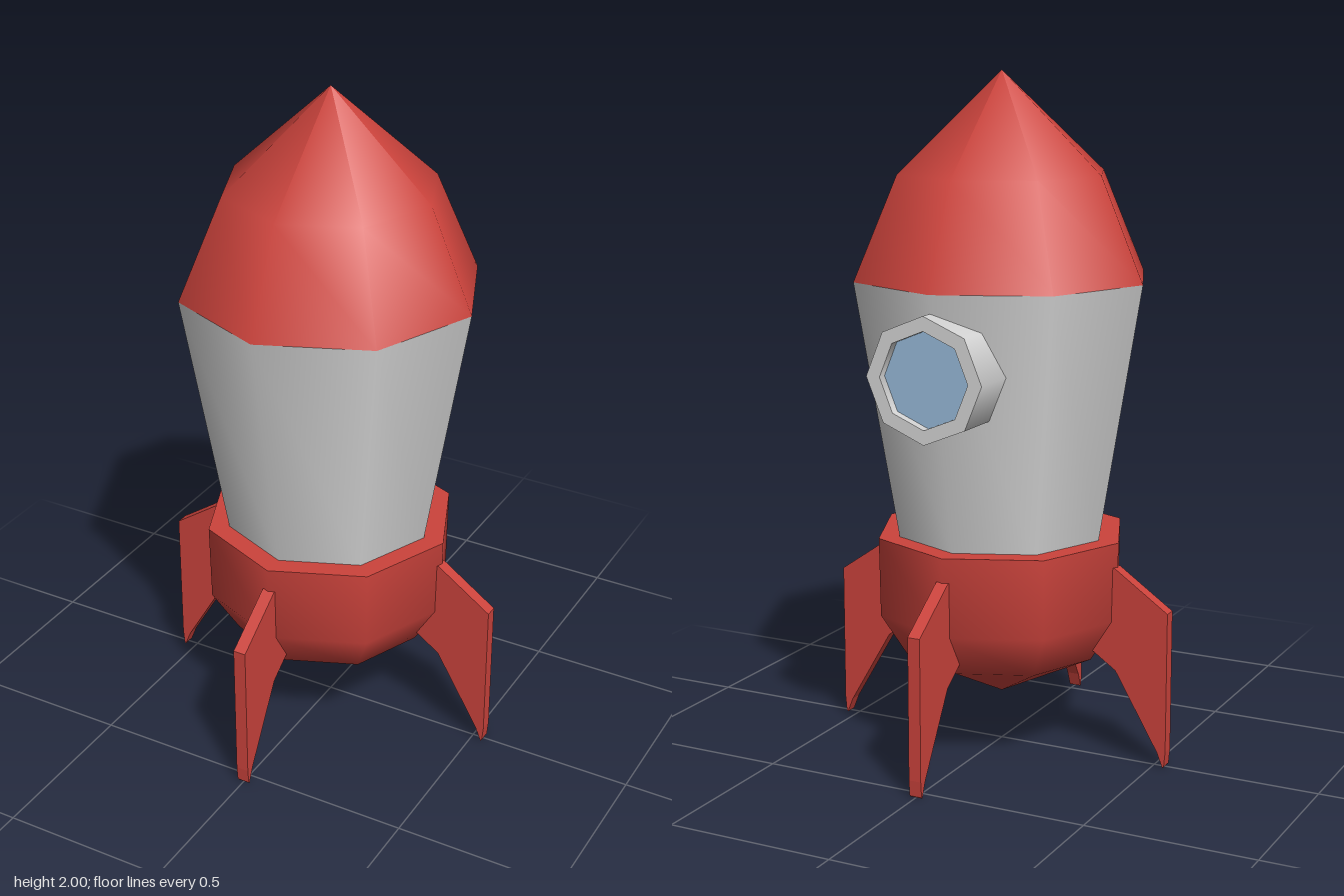
import * as THREE from 'three';
import { mergeGeometries } from 'three/addons/utils/BufferGeometryUtils.js';

const SIDES = 8;

// Each profile runs [radius, y]; separate profiles keep a sharp edge between them.
function turned(...profiles) {
  return mergeGeometries(profiles.map((profile) =>
    new THREE.LatheGeometry(profile.map(([r, y]) => new THREE.Vector2(r, y)), SIDES)));
}

function paint(name, color) {
  const material = new THREE.MeshStandardMaterial({ color });
  material.name = name;
  return material;
}

export function createModel() {
  const model = new THREE.Group();
  model.name = 'rocket';
  const red = paint('red', 0xcc433c);
  const grey = paint('lightGrey', 0xd6d6d6);
  const blue = paint('glassBlue', 0x98bbda);

  function add(name, geometry, material, parent = model) {
    const mesh = new THREE.Mesh(geometry, material);
    mesh.name = name;
    parent.add(mesh);
    return mesh;
  }

  // Hull: engine cup with a flat rim, tapering body and pointed nose
  add('engineCup', turned(
    [[0, 0.15], [0.293, 0.29], [0.374, 0.42], [0.378, 0.655]],
    [[0.378, 0.655], [0.31, 0.655]],
  ), red);
  add('body', turned([[0.313, 0.645], [0.443, 1.41]]), grey);
  add('noseCone', turned([[0.443, 1.41], [0.313, 1.71], [0, 2]]), red);

  // Four swept fins, rooted inside the engine cup
  const outline = [
    [0.29, 0.34], [0.307, 0.325], [0.38, 0.275], [0.515, 0.045],
    [0.533, 0], [0.537, 0.005], [0.541, 0.05], [0.541, 0.468], [0.375, 0.583], [0.29, 0.583],
  ];
  const finShape = new THREE.Shape(outline.map(([x, y]) => new THREE.Vector2(x, y)));
  const finGeometry = new THREE.ExtrudeGeometry(finShape, { depth: 0.038, bevelEnabled: false });
  finGeometry.translate(0, 0, -0.019);
  for (let i = 0; i < 4; i++) {
    add('fin' + (i + 1), finGeometry, red).rotation.y = (i * Math.PI) / 2;
  }

  // Porthole on the back: local +y points out towards -z
  const porthole = new THREE.Group();
  porthole.name = 'porthole';
  porthole.position.y = 1.178;
  porthole.rotation.x = -Math.PI / 2;
  model.add(porthole);
  add('portholeFrame', turned(
    [[0.179, 0.3], [0.179, 0.475]],
    [[0.179, 0.475], [0.137, 0.475]],
    [[0.137, 0.475], [0.137, 0.445]],
  ), grey, porthole);
  add('portholeGlass', turned([[0.137, 0.447], [0, 0.447]]), blue, porthole);

  return model;
}
